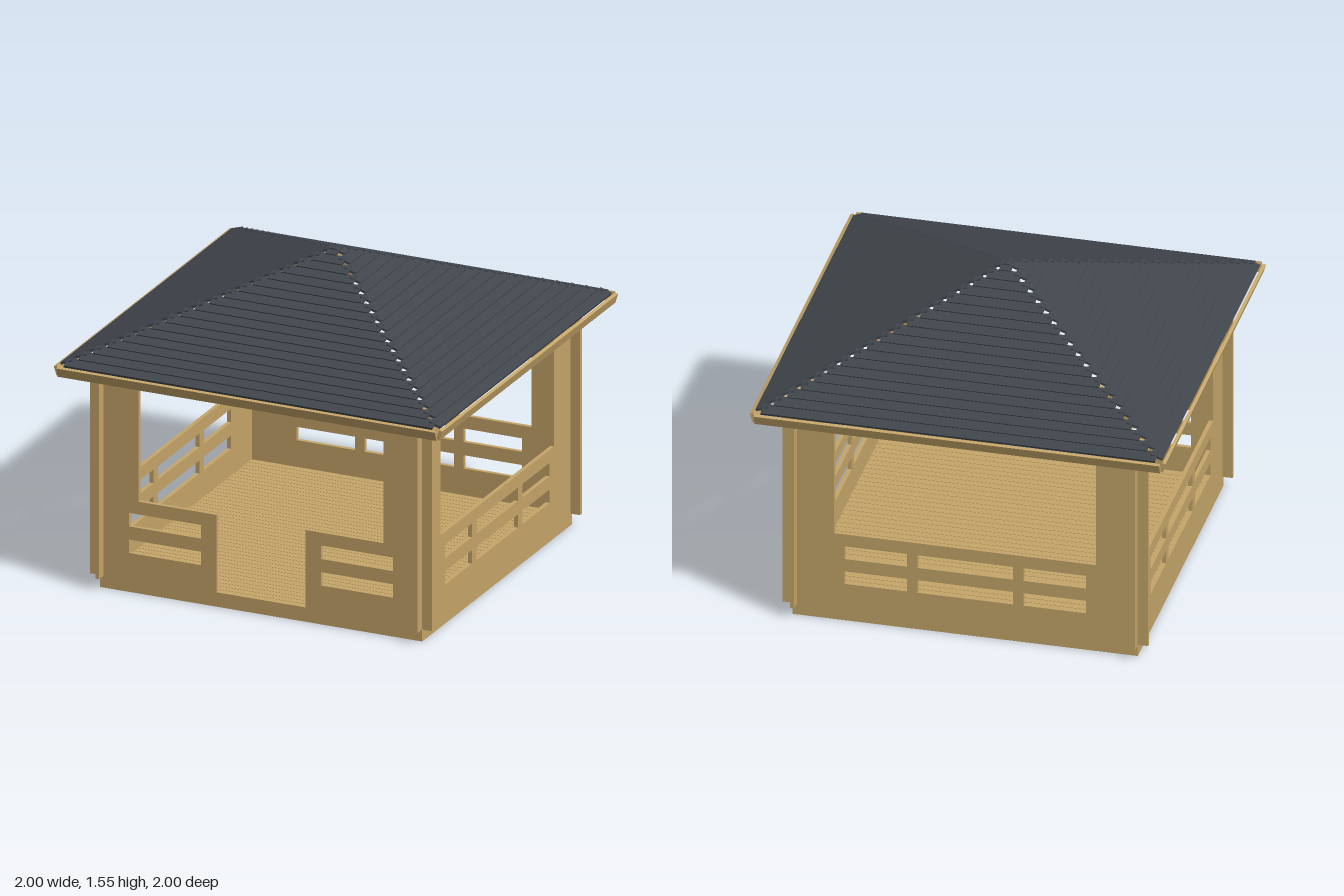
import * as THREE from 'three';

const wood = new THREE.MeshStandardMaterial({ color: 0xc6a66a });
const slate = new THREE.MeshStandardMaterial({ color: 0x41464d });

function box(parent, name, mat, w, h, d, x, y, z, rx = 0) {
  const mesh = new THREE.Mesh(new THREE.BoxGeometry(w, h, d), mat);
  mesh.name = name;
  mesh.position.set(x, y, z);
  mesh.rotation.x = rx;
  parent.add(mesh);
  return mesh;
}

const pts = (list) => list.map(([x, y]) => new THREE.Vector2(x, y));
const rect = (x0, x1, y0, y1) => new THREE.Path(pts([[x0, y0], [x1, y0], [x1, y1], [x0, y1]]));

// Wall panel with ends that pass the corner, a wide window and slotted railing
function wall(isEntrance) {
  const shape = new THREE.Shape(pts([[-0.88, 0.06], [0.88, 0.06], [0.88, 1.155], [-0.88, 1.155]]));
  let slots;
  if (isEntrance) {
    // window and doorway are one opening
    shape.holes.push(new THREE.Path(pts([
      [-0.63, 0.46], [-0.23, 0.46], [-0.23, 0.072], [0.23, 0.072],
      [0.23, 0.46], [0.63, 0.46], [0.63, 1.055], [-0.63, 1.055],
    ])));
    slots = [[-0.68, -0.31], [0.31, 0.68]];
  } else {
    shape.holes.push(rect(-0.63, 0.63, 0.46, 1.055));
    slots = [[-0.58, -0.28], [-0.23, 0.23], [0.28, 0.58]];
  }
  for (const [a, b] of slots) {
    shape.holes.push(rect(a, b, 0.195, 0.262), rect(a, b, 0.328, 0.396));
  }
  const geo = new THREE.ExtrudeGeometry(shape, { depth: 0.02, bevelEnabled: false });
  geo.translate(0, 0, 0.81);
  const mesh = new THREE.Mesh(geo, wood);
  mesh.name = isEntrance ? 'entranceWall' : 'railingWall';
  return mesh;
}

// One roof face of lapped boards; their square ends leave small gaps on the hips
function roofSide() {
  const side = new THREE.Group();
  side.name = 'roofSide';
  const pitch = 0.0511, tilt = Math.atan(0.32);
  for (let i = 0; i < 19; i++) {
    const r = pitch * i + 0.029;
    box(side, 'roofBoard', slate, 2 * (pitch * i + 0.028), 0.011, 0.058 / Math.cos(tilt),
      0, 1.549 - 0.424 * r, r, tilt);
  }
  box(side, 'fascia', wood, 1.95, 0.048, 0.016, 0, 1.11, 0.985, 0.3);
  return side;
}

export function createModel() {
  const model = new THREE.Group();
  model.name = 'gardenPavilion';

  // Four sides: base beam, wall and roof face
  for (let k = 0; k < 4; k++) {
    const side = new THREE.Group();
    side.name = ['frontSide', 'leftSide', 'backSide', 'rightSide'][k];
    side.rotation.y = k * Math.PI / 2;
    side.add(wall(k === 0), roofSide());
    box(side, 'baseBeam', wood, k % 2 ? 1.58 : 1.66, 0.06, 0.04, 0, 0.03, 0.81);
    model.add(side);
  }

  // Floor boards with narrow gaps
  const floor = new THREE.Group();
  floor.name = 'floor';
  const count = 40, step = 1.62 / count;
  for (let i = 0; i < count; i++) {
    box(floor, 'floorBoard', wood, 1.62, 0.017, step - 0.003, 0, 0.0535, -0.81 + (i + 0.5) * step);
  }
  // Joists under the floor
  for (let k = -2; k <= 2; k++) {
    box(floor, 'joist', wood, 0.04, 0.045, 1.58, k * 0.277, 0.0225, 0);
  }
  model.add(floor);

  return model;
}
